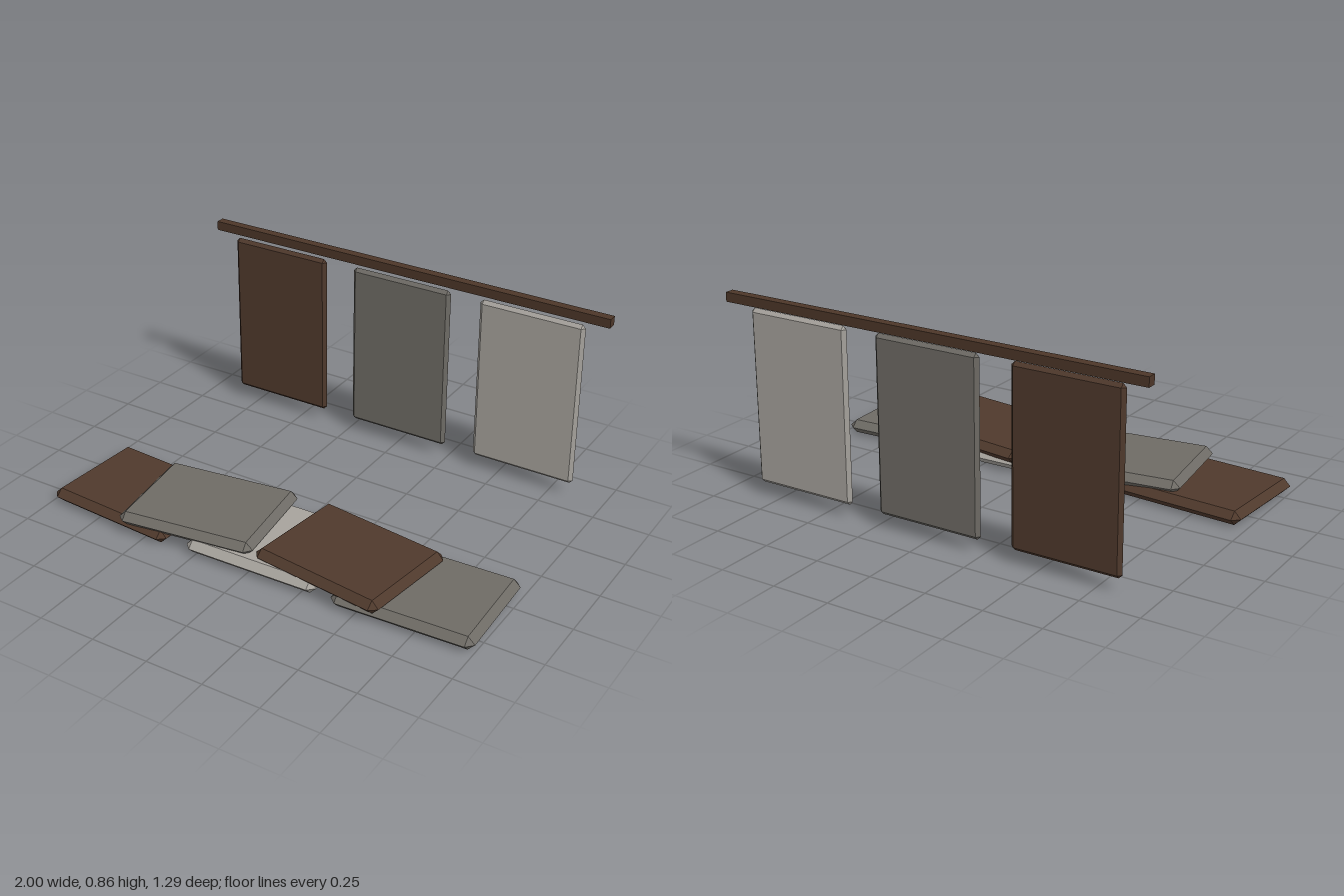
import * as THREE from 'three';
import { ConvexGeometry } from 'three/addons/geometries/ConvexGeometry.js';

const paint = (name, color) => {
  const m = new THREE.MeshStandardMaterial({ color });
  m.name = name;
  return m;
};

// Flat slab whose edges are chamfered to a ridge at mid thickness
function slabGeometry(width, thickness, depth) {
  const r = thickness / 2, x = width / 2, z = depth / 2;
  const points = [];
  for (const sx of [-1, 1]) for (const sz of [-1, 1]) {
    points.push(
      new THREE.Vector3(sx * (x - r), r, sz * (z - r)),
      new THREE.Vector3(sx * (x - r), -r, sz * (z - r)),
      new THREE.Vector3(sx * x, 0, sz * (z - r)),
      new THREE.Vector3(sx * (x - r), 0, sz * z)
    );
  }
  return new ConvexGeometry(points);
}

export function createModel() {
  const model = new THREE.Group();
  const brown = paint('dark brown', 0x4f392c);
  const grey = paint('warm grey', 0x6e6b65);
  const light = paint('light grey', 0xa6a29c);
  const wood = paint('rail wood', 0x4c3628);

  const add = (name, geometry, material, x, y, z) => {
    const mesh = new THREE.Mesh(geometry, material);
    mesh.name = name;
    mesh.position.set(x, y, z);
    model.add(mesh);
    return mesh;
  };

  // Rail along the back
  add('rail', new THREE.BoxGeometry(1.91, 0.04, 0.04), wood, 0, 0.84, -0.63);

  // Three panels hanging below the rail
  const panel = slabGeometry(0.475, 0.03, 0.75).rotateX(Math.PI / 2);
  [brown, grey, light].forEach((material, i) =>
    add('hangingPanel', panel, material, (i - 1) * 0.614, 0.43, -0.615));

  // Pile on the ground: three below, two overlapping on top
  const slab = slabGeometry(0.61, 0.06, 0.478);
  const pile = [
    ['lowerSlab', brown, -0.68, 0.03, -0.07],
    ['lowerSlab', light, 0.002, 0.03, 0.02],
    ['lowerSlab', grey, 0.684, 0.03, 0.04],
    ['upperSlab', grey, -0.338, 0.073, 0.13],
    ['upperSlab', brown, 0.338, 0.073, -0.13]
  ];
  for (const [name, material, x, y, turn] of pile) {
    add(name, slab, material, x, y, 0.371).rotation.y = turn;
  }
  return model;
}
